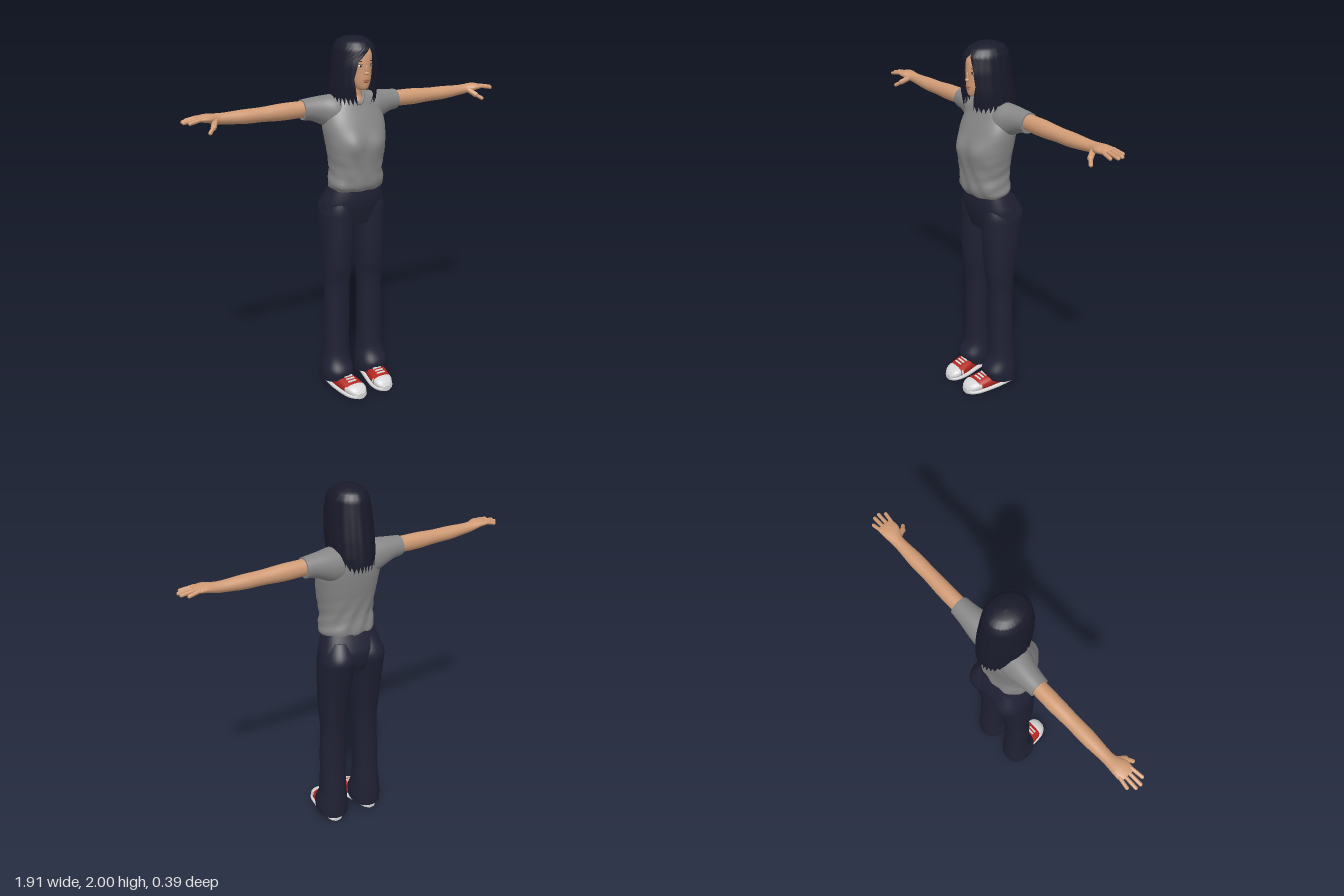
import * as THREE from 'three';

const mat = (name, color, side = THREE.FrontSide) => {
  const m = new THREE.MeshStandardMaterial({ color, side });
  m.name = name;
  return m;
};
const M = {
  skin: mat('skin', 0xcf9a74), hair: mat('hair', 0x191a2a, THREE.DoubleSide),
  shirt: mat('shirt grey', 0x868686), pants: mat('pants navy', 0x1f2033),
  red: mat('shoe red', 0xb3261f), white: mat('white', 0xd6d6d6),
  dark: mat('eye dark', 0x2a1d1a), lips: mat('lips', 0xa85f50),
};

// Loft of rounded sections along an axis; ring = [t, a0, a1, c0, c1], t ascending.
function loft(rings, { axis = 'y', n = 32, steps = 5, power = 2, deform } = {}) {
  const curve = (f) => new THREE.CatmullRomCurve3(rings.map(f), false, 'catmullrom', 0.5);
  const A = curve((r) => new THREE.Vector3(r[0], r[1], r[2]));
  const C = curve((r) => new THREE.Vector3(r[3], r[4], 0));
  const rows = (rings.length - 1) * steps, pos = [], idx = [];
  const v = new THREE.Vector3();
  const add = (a, t, c) => {
    if (axis === 'y') v.set(a, t, c);
    else if (axis === 'x') v.set(t, a, c);
    else v.set(a, c, t);
    if (deform) deform(v);
    pos.push(v.x, v.y, v.z);
  };
  const bend = (s) => Math.sign(s) * Math.abs(s) ** (2 / power);
  const ring = (j) => {
    const p = A.getPoint(j / rows), q = C.getPoint(j / rows);
    for (let i = 0; i < n; i++) {
      const f = (i / n) * Math.PI * 2;
      add((p.y + p.z) / 2 + bend(Math.cos(f)) * (p.z - p.y) / 2, p.x,
        (q.x + q.y) / 2 + bend(Math.sin(f)) * (q.y - q.x) / 2);
    }
    return [(p.y + p.z) / 2, p.x, (q.x + q.y) / 2];
  };
  const tri = (a, b, c) => (axis === 'y' ? idx.push(a, b, c) : idx.push(a, c, b));
  for (let j = 0; j <= rows; j++) ring(j);
  for (let j = 0; j < rows; j++) for (let i = 0; i < n; i++) {
    const a = j * n + i, b = j * n + (i + 1) % n;
    tri(a, a + n, b);
    tri(b, a + n, b + n);
  }
  for (const j of [0, rows]) {
    const s = pos.length / 3;
    add(...ring(j));
    for (let i = 0; i < n; i++) {
      const a = s + i, b = s + (i + 1) % n;
      if (j) tri(s + n, b, a); else tri(s + n, a, b);
    }
  }
  return geometry(pos, idx);
}

function geometry(pos, idx) {
  const g = new THREE.BufferGeometry();
  g.setAttribute('position', new THREE.Float32BufferAttribute(pos, 3));
  g.setIndex(idx);
  g.computeVertexNormals();
  return g;
}

function mirrored(geo) {
  const g = geo.clone().scale(-1, 1, 1), a = g.index.array;
  for (let i = 0; i < a.length; i += 3) [a[i], a[i + 1]] = [a[i + 1], a[i]];
  g.computeVertexNormals();
  return g;
}

// Linear lookup in a table whose first column descends
function lookup(table, y) {
  let k = 0;
  while (k < table.length - 2 && y < table[k + 1][0]) k++;
  const p = table[k], q = table[k + 1];
  const f = THREE.MathUtils.clamp((p[0] - y) / (p[0] - q[0]), 0, 1);
  return p.map((s, i) => s + (q[i] - s) * f);
}

// Rounded finger between two points
function finger(from, to, r) {
  const a = new THREE.Vector3(...from), b = new THREE.Vector3(...to), d = b.clone().sub(a);
  const g = new THREE.CapsuleGeometry(r, d.length(), 5, 10);
  g.applyQuaternion(new THREE.Quaternion().setFromUnitVectors(new THREE.Vector3(0, 1, 0), d.normalize()));
  return g.translate(...a.add(b).multiplyScalar(0.5).toArray());
}

const ball = (x, y, z, rx, ry, rz, yaw = 0) =>
  new THREE.SphereGeometry(1, 20, 12).scale(rx, ry, rz).rotateY(yaw).translate(x, y, z);

// Hair shell, parted over the face with ragged ends
function hairGeometry() {
  const shape = [[2, 0, -0.02, -0.02], [1.994, 0.048, 0.035, -0.075], [1.975, 0.083, 0.08, -0.118],
    [1.94, 0.104, 0.11, -0.14], [1.86, 0.115, 0.122, -0.153], [1.75, 0.122, 0.12, -0.172],
    [1.65, 0.122, 0.1, -0.184], [1.55, 0.1, 0.085, -0.19]];
  const gap = [[1.95, 0.25, -0.25], [1.88, 0.48, 0.42], [1.79, 0.56, 0.58], [1.65, 0.3, 0.34]];
  const cols = 96, rows = 28, pos = [], idx = [];
  for (let j = 0; j <= rows; j++) for (let i = 0; i <= cols; i++) {
    const u = i / cols, back = THREE.MathUtils.smoothstep((1 - Math.cos(u * Math.PI * 2)) / 2, 0.5, 0.95);
    const end = 1.65 - 0.075 * back + (i % 3 ? 0.03 + 0.012 * Math.sin(i * 2.3) : 0);
    const y = 2 - (2 - end) * (j / rows) ** 1.8;
    const [, rx, zf, zb] = lookup(shape, y), [, l, r] = lookup(gap, y);
    const t = l + u * (Math.PI * 2 - l - r), k = 1 + 0.012 * Math.sin(t * 17) * (j / rows);
    pos.push(-0.004 + rx * k * Math.sin(t), y, (zf + zb) / 2 + (zf - zb) / 2 * k * Math.cos(t));
  }
  for (let j = 0; j < rows; j++) for (let i = 0; i < cols; i++) {
    const a = j * (cols + 1) + i, c = a + cols + 1;
    idx.push(a, c, a + 1, a + 1, c, c + 1);
  }
  return geometry(pos, idx);
}

export function createModel() {
  const model = new THREE.Group();
  model.name = 'woman';
  const part = (name, geo, m) => {
    const mesh = new THREE.Mesh(geo, m);
    mesh.name = name;
    model.add(mesh);
  };
  const pair = (name, geo, m) => {
    part('left ' + name, geo, m);
    part('right ' + name, mirrored(geo), m);
  };

  // Shirt with bust and soft folds
  part('shirt', loft([[1.185, -0.145, 0.145, -0.11, 0.09], [1.22, -0.158, 0.158, -0.122, 0.108],
    [1.3, -0.149, 0.149, -0.116, 0.112], [1.4, -0.162, 0.162, -0.125, 0.118], [1.47, -0.172, 0.172, -0.135, 0.112],
    [1.55, -0.178, 0.178, -0.143, 0.085], [1.62, -0.16, 0.16, -0.142, 0.052], [1.67, -0.12, 0.12, -0.125, 0.028],
    [1.695, -0.065, 0.065, -0.1, 0.0]], {
    n: 56, power: 2.3, deform: (v) => {
      const low = THREE.MathUtils.smoothstep(1.45 - v.y, 0, 0.15);
      const bust = Math.exp(-(((Math.abs(v.x) - 0.07) / 0.05) ** 2) - ((v.y - 1.44) / 0.06) ** 2);
      if (v.z > 0) v.z += 0.018 * bust;
      v.z += 0.004 * low * Math.sin(v.x * 70 + v.y * 35);
      v.x += 0.003 * low * Math.sin(v.y * 90 + v.z * 30);
    } }), M.shirt);
  pair('sleeve', loft([[0.05, 1.5, 1.695, -0.135, 0.03], [0.12, 1.51, 1.697, -0.135, 0.03],
    [0.18, 1.54, 1.693, -0.13, 0.008], [0.235, 1.565, 1.688, -0.124, -0.006],
    [0.29, 1.575, 1.683, -0.12, -0.013]], { axis: 'x' }), M.shirt);
  part('collar', new THREE.TubeGeometry(new THREE.CatmullRomCurve3([[0, 1.702, -0.095], [0.058, 1.702, -0.045],
    [0.04, 1.685, 0.01], [0, 1.65, 0.043], [-0.04, 1.685, 0.01], [-0.058, 1.702, -0.045]]
    .map((p) => new THREE.Vector3(...p)), true), 48, 0.009, 8, true), M.shirt);

  // Arms and hands
  pair('arm', loft([[0.25, 1.59, 1.675, -0.108, -0.026], [0.4, 1.586, 1.675, -0.108, -0.025],
    [0.52, 1.592, 1.668, -0.103, -0.027], [0.62, 1.594, 1.667, -0.104, -0.026], [0.72, 1.604, 1.663, -0.098, -0.033],
    [0.77, 1.61, 1.664, -0.098, -0.032], [0.82, 1.624, 1.668, -0.104, -0.012], [0.86, 1.632, 1.663, -0.105, -0.012],
    [0.878, 1.638, 1.656, -0.098, -0.018]], { axis: 'x', n: 24 }), M.skin);
  [[-0.094, -0.1, 0.915], [-0.071, -0.07, 0.942], [-0.047, -0.042, 0.945], [-0.023, -0.012, 0.925]].forEach(([z0, z1, x], i) =>
    pair('finger ' + (i + 1), finger([0.86, 1.65, z0], [x, 1.639, z1], 0.0095), M.skin));
  pair('thumb base', finger([0.785, 1.635, -0.04], [0.81, 1.61, 0.0], 0.015), M.skin);
  pair('thumb', finger([0.81, 1.61, 0.0], [0.838, 1.59, 0.022], 0.0105), M.skin);

  // Trousers
  part('trouser seat', loft([[0.985, -0.165, 0.165, -0.135, 0.05], [1.04, -0.182, 0.182, -0.155, 0.066],
    [1.1, -0.182, 0.182, -0.16, 0.078], [1.15, -0.168, 0.168, -0.143, 0.08], [1.215, -0.145, 0.145, -0.112, 0.075]],
  { n: 40, power: 2.3 }), M.pants);
  pair('trouser leg', loft([[0.055, 0.025, 0.203, -0.122, 0.07], [0.11, 0.024, 0.204, -0.122, 0.075],
    [0.19, 0.034, 0.19, -0.118, 0.042], [0.3, 0.037, 0.184, -0.108, 0.035], [0.45, 0.035, 0.182, -0.1, 0.033],
    [0.62, 0.034, 0.176, -0.103, 0.036], [0.75, 0.025, 0.183, -0.118, 0.055], [0.9, 0.014, 0.187, -0.142, 0.064],
    [1.0, 0.005, 0.187, -0.162, 0.066], [1.08, 0.004, 0.183, -0.173, 0.066], [1.17, 0.02, 0.145, -0.125, 0.05]], {
    power: 2.2, deform: (v) => {
      if (v.y < 0.16) v.y += v.z * 0.25 * (1 - v.y / 0.16);
    } }), M.pants);

  // Shoes
  const shoe = { axis: 'z', n: 24, power: 2.4 };
  pair('shoe upper', loft([[-0.095, 0.09, 0.145, 0.015, 0.06], [-0.05, 0.072, 0.162, 0.012, 0.09],
    [0.02, 0.055, 0.163, 0.012, 0.095], [0.08, 0.04, 0.16, 0.012, 0.086], [0.14, 0.031, 0.149, 0.012, 0.071]], shoe), M.red);
  pair('toe cap', loft([[0.125, 0.031, 0.153, 0.012, 0.073], [0.16, 0.033, 0.144, 0.01, 0.067],
    [0.185, 0.045, 0.128, 0.01, 0.052], [0.2, 0.066, 0.106, 0.014, 0.032]], shoe), M.white);
  pair('sole', loft([[-0.105, 0.095, 0.14, 0, 0.028], [-0.08, 0.073, 0.16, 0, 0.028], [0.0, 0.052, 0.167, 0, 0.028],
    [0.09, 0.031, 0.163, 0, 0.028], [0.15, 0.028, 0.153, 0, 0.028], [0.185, 0.042, 0.132, 0, 0.027],
    [0.2, 0.065, 0.108, 0, 0.025]], { ...shoe, power: 3 }), M.white);
  for (let i = 0; i < 3; i++) {
    pair('lace ' + (i + 1), new THREE.BoxGeometry(0.05, 0.008, 0.01)
      .rotateX(0.22).translate(0.097, 0.088 - i * 0.0055, 0.075 + i * 0.021), M.white);
  }

  // Neck and head
  part('neck', loft([[1.6, -0.06, 0.06, -0.1, 0.04], [1.66, -0.048, 0.048, -0.09, 0.036],
    [1.7, -0.04, 0.04, -0.075, 0.025], [1.78, -0.042, 0.042, -0.07, 0.04]]), M.skin);
  part('head', loft([[1.728, -0.018, 0.018, 0.04, 0.085], [1.74, -0.034, 0.034, 0.01, 0.098],
    [1.775, -0.056, 0.056, -0.05, 0.104], [1.82, -0.07, 0.07, -0.1, 0.105], [1.87, -0.076, 0.076, -0.115, 0.106],
    [1.92, -0.074, 0.074, -0.11, 0.097], [1.96, -0.05, 0.05, -0.08, 0.062]]), M.skin);
  part('nose bridge', ball(0, 1.837, 0.105, 0.007, 0.022, 0.006), M.skin);
  part('nose tip', ball(0, 1.818, 0.107, 0.013, 0.009, 0.011), M.skin);
  part('upper lip', ball(0, 1.781, 0.103, 0.02, 0.0045, 0.006), M.lips);
  part('lower lip', ball(0, 1.773, 0.103, 0.016, 0.005, 0.006), M.lips);
  pair('eye', ball(0.03, 1.856, 0.094, 0.014, 0.0065, 0.005, 0.3), M.white);
  pair('iris', ball(0.0305, 1.856, 0.0965, 0.006, 0.006, 0.0045, 0.3), M.dark);
  pair('eyelid', ball(0.03, 1.8625, 0.095, 0.016, 0.002, 0.005, 0.3), M.dark);
  pair('eyebrow', ball(0.031, 1.879, 0.094, 0.017, 0.003, 0.004, 0.3), M.dark);
  part('hair', hairGeometry(), M.hair);

  return model;
}
